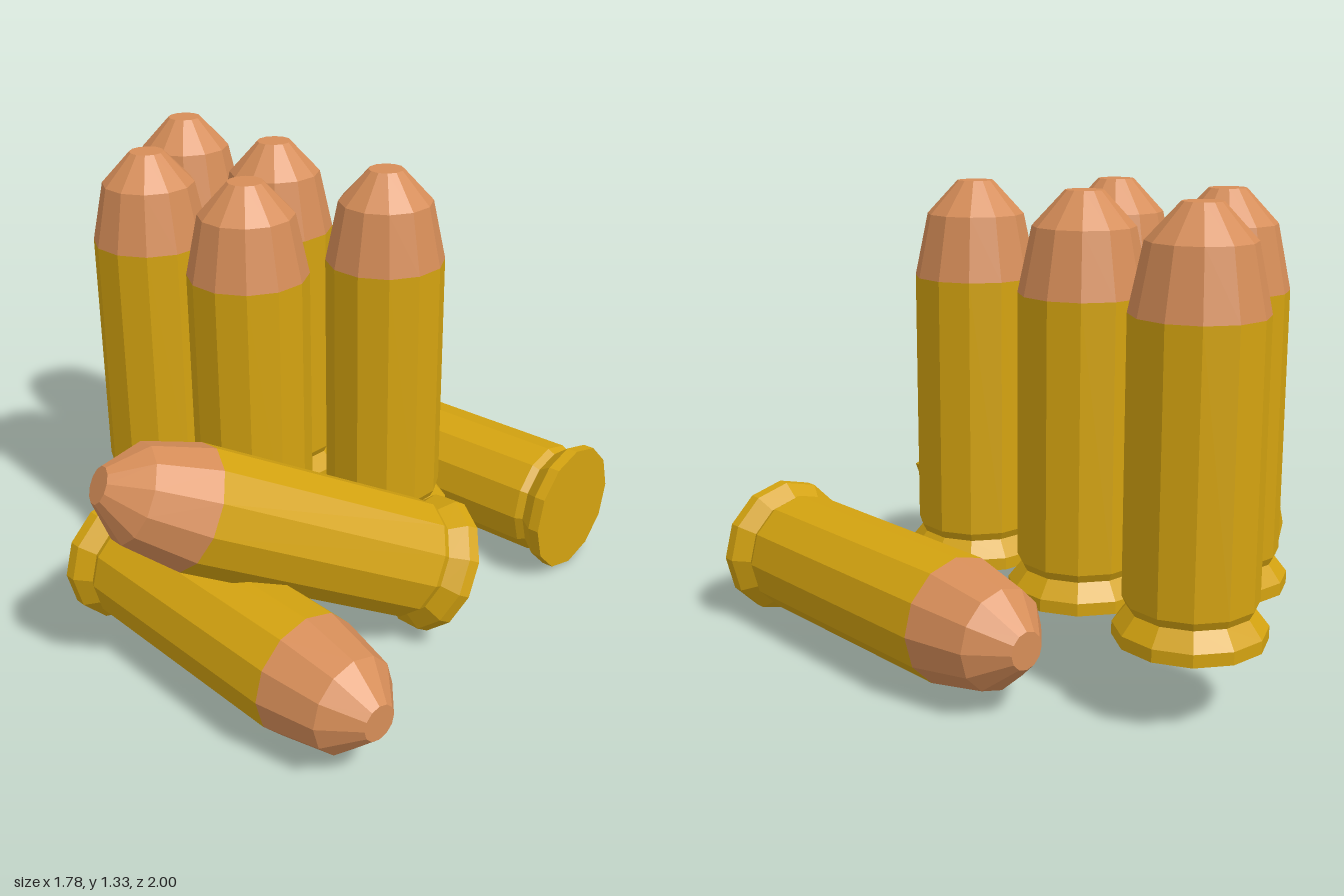
import * as THREE from 'three';

const SIDES = 12;
const lathe = (points) =>
  new THREE.LatheGeometry(points.map(([r, y]) => new THREE.Vector2(r, y)), SIDES);

export function createModel() {
  const model = new THREE.Group();
  model.name = 'cartridges';

  const brass = new THREE.MeshStandardMaterial({ color: 0xd4a310, flatShading: true });
  const copper = new THREE.MeshStandardMaterial({ color: 0xd68d58, flatShading: true });

  // Case with a flat base, rim and shallow groove
  const caseGeometry = lathe([
    [0, 0], [0.203, 0], [0.203, 0.035], [0.166, 0.082], [0.178, 0.105], [0.178, 0.845],
  ]);
  // Tapered bullet with a small flat nose
  const tipGeometry = lathe([[0.178, 0.845], [0.14, 1.025], [0.052, 1.12], [0, 1.12]]);

  // Origin of each cartridge is the centre of its base
  function addCartridge(name, position, tilt = 0, yaw = 0, roll = 0) {
    const cartridge = new THREE.Group();
    cartridge.name = name;
    const shell = new THREE.Mesh(caseGeometry, brass);
    shell.name = 'case';
    const tip = new THREE.Mesh(tipGeometry, copper);
    tip.name = 'bulletTip';
    shell.rotation.y = tip.rotation.y = roll;
    cartridge.add(shell, tip);
    cartridge.position.set(...position);
    cartridge.rotation.set(tilt, yaw, 0, 'YXZ');
    model.add(cartridge);
  }

  // Upright cluster
  const upright = [[-0.29, -0.035], [0.127, -0.035], [-0.5, -0.425], [-0.105, -0.425], [-0.31, -0.8]];
  upright.forEach(([x, z], i) =>
    addCartridge(`uprightCartridge${i + 1}`, [x, 0.21, z], 0, 0, Math.PI / SIDES));

  // Two lying flat, one leaning across
  addCartridge('lyingCartridgeLeft', [0.715, 0.203, 0.145], Math.PI / 2, Math.atan2(-0.531, -0.847));
  addCartridge('lyingCartridgeRight', [-0.71, 0.203, -0.03], Math.PI / 2, Math.atan2(0.435, 0.9));
  addCartridge('leaningCartridge', [0.175, 0.205, 0.325], Math.acos(0.45), Math.atan2(-0.99, 0.13));

  return model;
}
